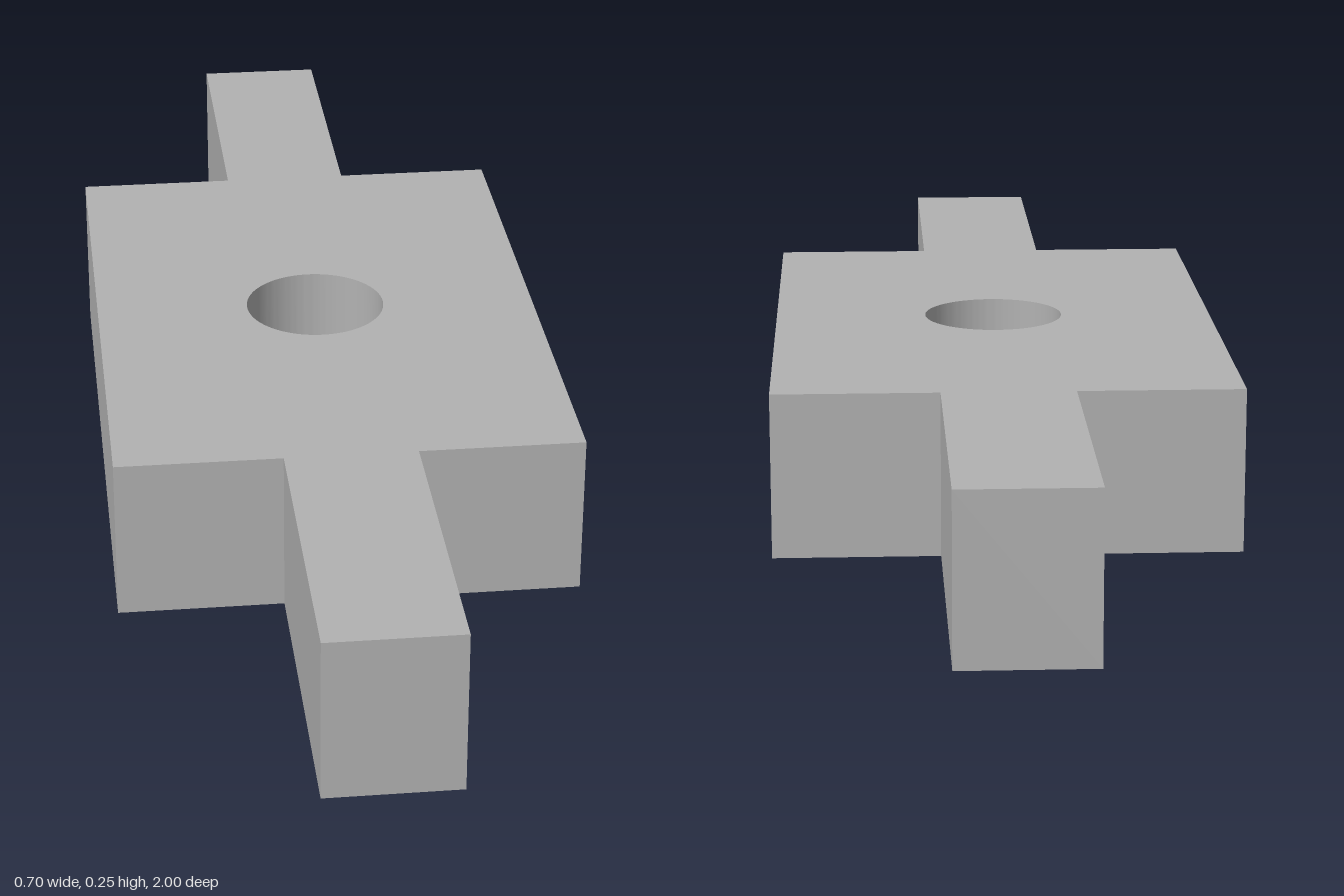
import * as THREE from 'three';
import { toCreasedNormals } from 'three/addons/utils/BufferGeometryUtils.js';

const HEIGHT = 0.25;
const BODY = { x: 0.35, z: 0.5 }; // half sizes of the wide block
const ARM = { x: 0.1, z: 1 };     // half width and reach of the end arms
const BORE_RADIUS = 0.11;

export function createModel() {
  const group = new THREE.Group();
  group.name = 'pivotBlock';

  const grey = new THREE.MeshStandardMaterial({ color: 0xb2b2b2 });
  grey.name = 'plain grey';

  // Cross-shaped outline: wide block with a narrow arm at each end
  const outline = new THREE.Shape([
    [ARM.x, -ARM.z], [ARM.x, -BODY.z], [BODY.x, -BODY.z],
    [BODY.x, BODY.z], [ARM.x, BODY.z], [ARM.x, ARM.z],
    [-ARM.x, ARM.z], [-ARM.x, BODY.z], [-BODY.x, BODY.z],
    [-BODY.x, -BODY.z], [-ARM.x, -BODY.z], [-ARM.x, -ARM.z],
  ].map(([x, y]) => new THREE.Vector2(x, y)));

  // Round bore through the centre
  const bore = new THREE.Path();
  bore.absarc(0, 0, BORE_RADIUS, 0, Math.PI * 2, true);
  outline.holes.push(bore);

  // Extrude upwards; keep box edges sharp and the bore wall smooth
  const solid = new THREE.ExtrudeGeometry(outline, {
    depth: HEIGHT, bevelEnabled: false, curveSegments: 64,
  });
  solid.rotateX(-Math.PI / 2);

  const body = new THREE.Mesh(toCreasedNormals(solid, 0.6), grey);
  body.name = 'blockWithArmsAndBore';
  group.add(body);

  return group;
}
